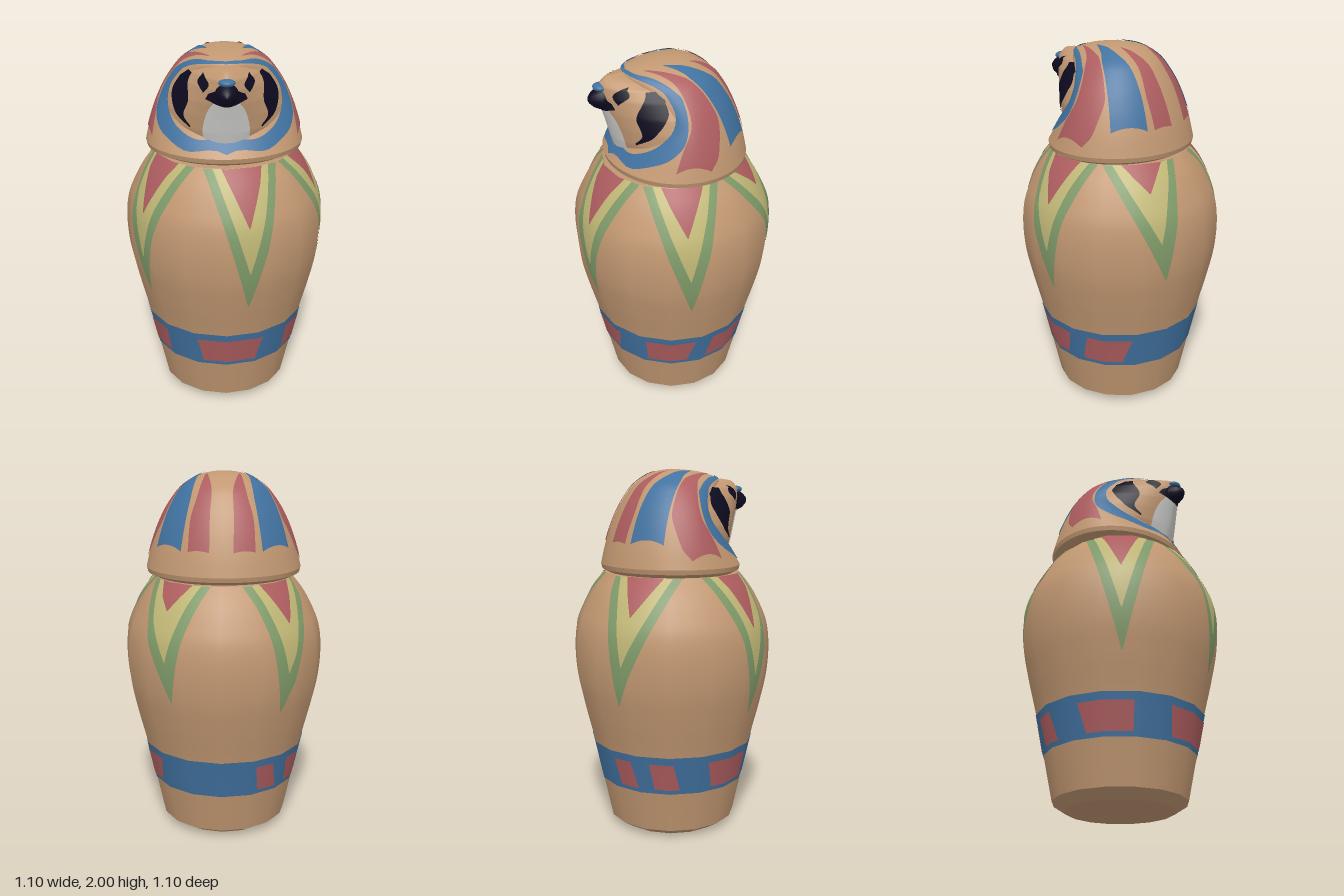
import * as THREE from 'three';

const paintOf = (name, color) => {
  const m = new THREE.MeshStandardMaterial({ color, side: THREE.DoubleSide });
  m.name = name;
  return m;
};
const MAT = {
  clay: paintOf('clay', 0xc29872),
  blue: paintOf('blue', 0x4172a0),
  red: paintOf('red', 0xad5d5f),
  green: paintOf('green', 0x7f9a69),
  yellow: paintOf('yellow', 0xc0b676),
  black: paintOf('black', 0x0d0b20),
  white: paintOf('white', 0xcfcfcc),
};
const SIDES = 16;
const rad = THREE.MathUtils.degToRad;
const mix = THREE.MathUtils.lerp;

// Linear lookup in rows sorted by their first number
function lookup(rows, key) {
  let i = 1;
  while (i < rows.length - 1 && rows[i][0] < key) i++;
  const a = rows[i - 1], b = rows[i];
  const t = THREE.MathUtils.clamp((key - a[0]) / (b[0] - a[0]), 0, 1);
  return a.map((v, k) => mix(v, b[k], t));
}

// Grid surface from point(u, v): faces outward, lifted along its normals,
// and optionally pressed onto the flat sides of the jar
function sheet(point, nu, nv, { closed = false, lift = 0, faceted = false } = {}) {
  const cols = closed ? nu : nu + 1, pos = [], index = [];
  for (let j = 0; j <= nv; j++)
    for (let i = 0; i < cols; i++) pos.push(...point(i / nu, j / nv));
  for (let j = 0; j < nv; j++)
    for (let i = 0; i < nu; i++) {
      const a = j * cols + i, b = j * cols + (i + 1) % cols;
      index.push(a, b, a + cols, b, b + cols, a + cols);
    }
  const geo = new THREE.BufferGeometry();
  geo.setAttribute('position', new THREE.Float32BufferAttribute(pos, 3));
  geo.setIndex(index);
  geo.computeVertexNormals();
  const P = geo.attributes.position, N = geo.attributes.normal;
  let facing = 0;
  for (let i = 0; i < P.count; i++) {
    const cy = P.getY(i) > 1.442 ? 1.6 : 0.8;
    facing += P.getX(i) * N.getX(i) + (P.getY(i) - cy) * N.getY(i) + P.getZ(i) * N.getZ(i);
  }
  if (facing < 0) {
    geo.setIndex(index.reverse());
    geo.computeVertexNormals();
  }
  const n = geo.attributes.normal, step = 2 * Math.PI / SIDES;
  for (let i = 0; i < P.count; i++) {
    let x = P.getX(i) + n.getX(i) * lift, z = P.getZ(i) + n.getZ(i) * lift;
    const y = P.getY(i) + n.getY(i) * lift;
    if (faceted) {
      const a = Math.atan2(x, z) + 2 * Math.PI;
      const k = Math.cos(step / 2) / Math.cos((a % step) - step / 2);
      x *= k;
      z *= k;
    }
    P.setXYZ(i, x, y, z);
  }
  return geo;
}

// Painted patch between two edge curves, laid on a surface by place(x, y)
function patch(edgeA, edgeB, place, lift = 0.005) {
  const curve = e => new THREE.CatmullRomCurve3(e.map(p => new THREE.Vector3(p[0], p[1], 0)), false, 'catmullrom', 0.5);
  const A = curve(edgeA), B = curve(edgeB);
  return sheet((u, v) => {
    const p = A.getPoint(u).lerp(B.getPoint(u), v);
    return place(p.x, p.y);
  }, 40, 14, { lift });
}

// Jar wall
const jarPoints = new THREE.SplineCurve([
  [0.36, 0.045], [0.41, 0.28], [0.458, 0.5], [0.505, 0.69], [0.54, 0.86], [0.55, 1.02],
  [0.535, 1.155], [0.495, 1.26], [0.44, 1.36], [0.375, 1.443],
].map(p => new THREE.Vector2(...p))).getPoints(60);
const jarRows = jarPoints.map(p => [p.y, p.x]);
const jarRadius = y => lookup(jarRows, y)[1];
const onJar = (a, y) => [jarRadius(y) * Math.sin(a), y, jarRadius(y) * Math.cos(a)];

// Hood profile from crown to rim: width share, height, forward reach
const hoodCurve = new THREE.CatmullRomCurve3([
  [0, 2, 0], [0.16, 1.993, 0.1], [0.3, 1.978, 0.19], [0.43, 1.948, 0.262], [0.55, 1.91, 0.255], [0.65, 1.858, 0.23],
  [0.74, 1.8, 0.2], [0.815, 1.737, 0.2], [0.88, 1.67, 0.24], [0.945, 1.585, 0.3], [1, 1.49, 0.367],
].map(p => new THREE.Vector3(...p)), false, 'catmullrom', 0.5);
function onHood(a, m) {
  const p = hoodCurve.getPoint(Math.min(m, 1));
  const c = Math.cos(a);
  return [0.424 * p.x * Math.sin(a), p.y, (c > 0 ? p.z : 0.39 * p.x) * c];
}
const onHoodMap = (x, z) => onHood(Math.atan2(x, z), Math.hypot(x, z));

// Face cross-sections: height, half width, forward reach
const faceRows = [
  [1.53, 0.28, 0.285], [1.565, 0.34, 0.322], [1.62, 0.36, 0.337], [1.7, 0.345, 0.357], [1.775, 0.312, 0.378],
  [1.85, 0.262, 0.395], [1.9, 0.215, 0.393], [1.93, 0.15, 0.367], [1.943, 0.07, 0.345], [1.947, 0, 0.3],
];
const KEEL = 1.55;
function onFace(x, y) {
  const [, w, f] = lookup(faceRows, y);
  const s = Math.min(Math.abs(x) / w, 0.98);
  return [Math.sign(x) * s * w, y, f * (1 - s ** KEEL) ** (1 / KEEL)];
}

export function createModel() {
  const model = new THREE.Group();
  model.name = 'falconJar';
  const add = (parent, name, geo, mat) => {
    const mesh = new THREE.Mesh(geo, mat);
    mesh.name = name;
    parent.add(mesh);
    return mesh;
  };
  const group = name => {
    const g = new THREE.Group();
    g.name = name;
    model.add(g);
    return g;
  };
  const lathe = (pts, sides = SIDES) => new THREE.LatheGeometry(pts.map(p => new THREE.Vector2(p[0], p[1])), sides);

  // Jar body, foot and shoulder cap
  const jar = group('jar');
  add(jar, 'jarWall', new THREE.LatheGeometry(jarPoints, SIDES), MAT.clay);
  add(jar, 'footBevel', lathe([[0.29, 0], [0.36, 0.045]]), MAT.clay);
  add(jar, 'base', lathe([[0, 0], [0.29, 0]]), MAT.clay);
  add(jar, 'jarTop', lathe([[0.375, 1.443], [0, 1.443]]), MAT.clay);

  // Hanging petals: angle at the shoulder, angle at the tip, height of the tip
  const petals = [[12, 13, 0.7], [-56, -55, 0.7], [76, 80, 0.75], [141, 151, 0.84], [-133, -143, 0.78]];
  const layers = [['green', 0.2, 0, 0.003], ['yellow', 0.15, 0.22, 0.0055], ['red', 0.105, 0.47, 0.008]];
  for (const [top, tip, low] of petals)
    for (const [color, half, rise, lift] of layers) {
      const reach = (1.44 - low - rise) / (1.44 - low);
      add(jar, color + 'Petal', sheet((u, v) => {
        const y = mix(1.44, low + rise, v);
        const w = (half * (1 - v) + 0.002) / jarRadius(y);
        return onJar(rad(mix(top, tip, v * reach)) + mix(-w, w, u), y);
      }, 40, 24, { lift, faceted: true }), MAT[color]);
    }

  // Blue band with slanted red blocks: left and right angle above, then below
  add(jar, 'band', sheet((u, v) => onJar(u * 2 * Math.PI, mix(0.28, 0.5, v)), 192, 6,
    { closed: true, lift: 0.003, faceted: true }), MAT.blue);
  const blocks = [[-21, 27, -18, 22], [49, 86, 49, 80], [100, 133, 95, 126], [205, 219, 208, 224], [233, 250, 236, 255], [275, 313, 280, 313]];
  for (const [tl, tr, bl, br] of blocks)
    add(jar, 'bandBlock', sheet((u, v) => onJar(rad(mix(mix(bl, br, u), mix(tl, tr, u), v)), mix(0.305, 0.458, v)), 40, 6,
      { lift: 0.006, faceted: true }), MAT.red);

  // Hooded lid
  const head = group('head');
  add(head, 'hood', sheet((u, v) => onHood(u * 2 * Math.PI, 1 - v), 80, 40, { closed: true }), MAT.clay);
  const rim = [[1, 1.49], [0.985, 1.465], [0.89, 1.445], [0, 1.445]];
  for (let k = 0; k < 3; k++)
    add(head, 'hoodRim', sheet((u, v) => {
      const a = u * 2 * Math.PI, c = Math.cos(a);
      const s = mix(rim[k + 1][0], rim[k][0], v);
      return [0.424 * s * Math.sin(a), mix(rim[k + 1][1], rim[k][1], v), (c > 0 ? 0.367 : 0.39) * s * c];
    }, 80, 1, { closed: true }), MAT.clay);

  // Hood stripes, each edge as [angle, distance from crown], mirrored
  const stripes = [
    ['backStripe', 'red', [[131, 0.17], [166, 0.39], [169, 0.6], [171, 0.87]], [[126, 0.17], [150, 0.43], [151, 0.65], [154, 0.87]]],
    ['blueStripe', 'blue', [[58, 0.16], [113, 0.23], [140, 0.42], [146, 0.63], [148, 0.87]],
      [[62, 0.17], [97, 0.33], [110, 0.5], [116, 0.68], [119, 0.87]]],
    ['sideStripe', 'red', [[33, 0.23], [88, 0.3], [110, 0.55], [112, 0.7], [105, 0.88], [97, 0.955]],
      [[36, 0.235], [65, 0.28], [77, 0.39], [81, 0.66], [70, 0.85], [67, 0.95]]],
    ['faceBorder', 'blue',
      [[0, 0.98], [28, 0.975], [52, 0.915], [70, 0.82], [77, 0.66], [78, 0.48], [72, 0.41], [55, 0.3], [28, 0.275], [0, 0.272]],
      [[0, 0.925], [22, 0.915], [40, 0.86], [54, 0.755], [63, 0.6], [61, 0.45], [56, 0.4], [46, 0.35], [22, 0.305], [0, 0.3]]],
  ];
  for (const side of [1, -1])
    for (const [name, color, a, b] of stripes) {
      const flat = e => e.map(([d, m]) => [side * m * Math.sin(rad(d)), m * Math.cos(rad(d))]);
      add(head, name, patch(flat(a), flat(b), onHoodMap), MAT[color]);
    }

  // Face with a soft keel down the middle
  const face = group('face');
  const bend = t => Math.sign(t) * Math.abs(t) ** (2 / KEEL);
  add(face, 'faceShell', sheet((u, v) => {
    const [y, w, f] = lookup(faceRows, mix(1.53, 1.947, v));
    const a = (u - 0.5) * Math.PI;
    return [w * bend(Math.sin(a)), y, f * bend(Math.max(Math.cos(a), 0))];
  }, 60, 60), MAT.clay);
  add(face, 'throat', patch([[-0.115, 1.565], [-0.115, 1.65], [-0.09, 1.74], [-0.05, 1.8]],
    [[0.115, 1.565], [0.115, 1.65], [0.09, 1.74], [0.05, 1.8]], onFace), MAT.white);
  add(face, 'beakEdge', patch([[-0.1, 1.8], [0, 1.77], [0.1, 1.8]], [[-0.085, 1.83], [0, 1.87], [0.085, 1.83]], onFace, 0.008), MAT.black);

  // Eyes and cheek marks, mirrored
  for (const side of [1, -1]) {
    const flip = e => e.map(([x, y]) => [side * x, y]);
    add(face, 'eye', patch(flip([[0.11, 1.91], [0.084, 1.87], [0.11, 1.828]]), flip([[0.112, 1.91], [0.138, 1.87], [0.112, 1.828]]), onFace), MAT.black);
    add(face, 'cheekMark', patch(flip([[0.185, 1.9], [0.225, 1.86], [0.268, 1.78], [0.25, 1.69], [0.18, 1.63]]),
      flip([[0.165, 1.895], [0.185, 1.85], [0.185, 1.77], [0.21, 1.69], [0.175, 1.637]]), onFace, 0.007), MAT.black);
  }

  // Beak and the blue cere above it
  const beak = add(face, 'beak', lathe([[0.062, 0], [0.056, 0.04], [0.042, 0.07], [0.02, 0.092], [0, 0.1]]), MAT.black);
  beak.rotation.x = Math.PI / 2;
  beak.position.set(0, 1.83, 0.352);
  const cere = add(face, 'cere', new THREE.SphereGeometry(1, 16, 10), MAT.blue);
  cere.scale.set(0.042, 0.02, 0.04);
  cere.position.set(0, 1.89, 0.382);
  return model;
}
